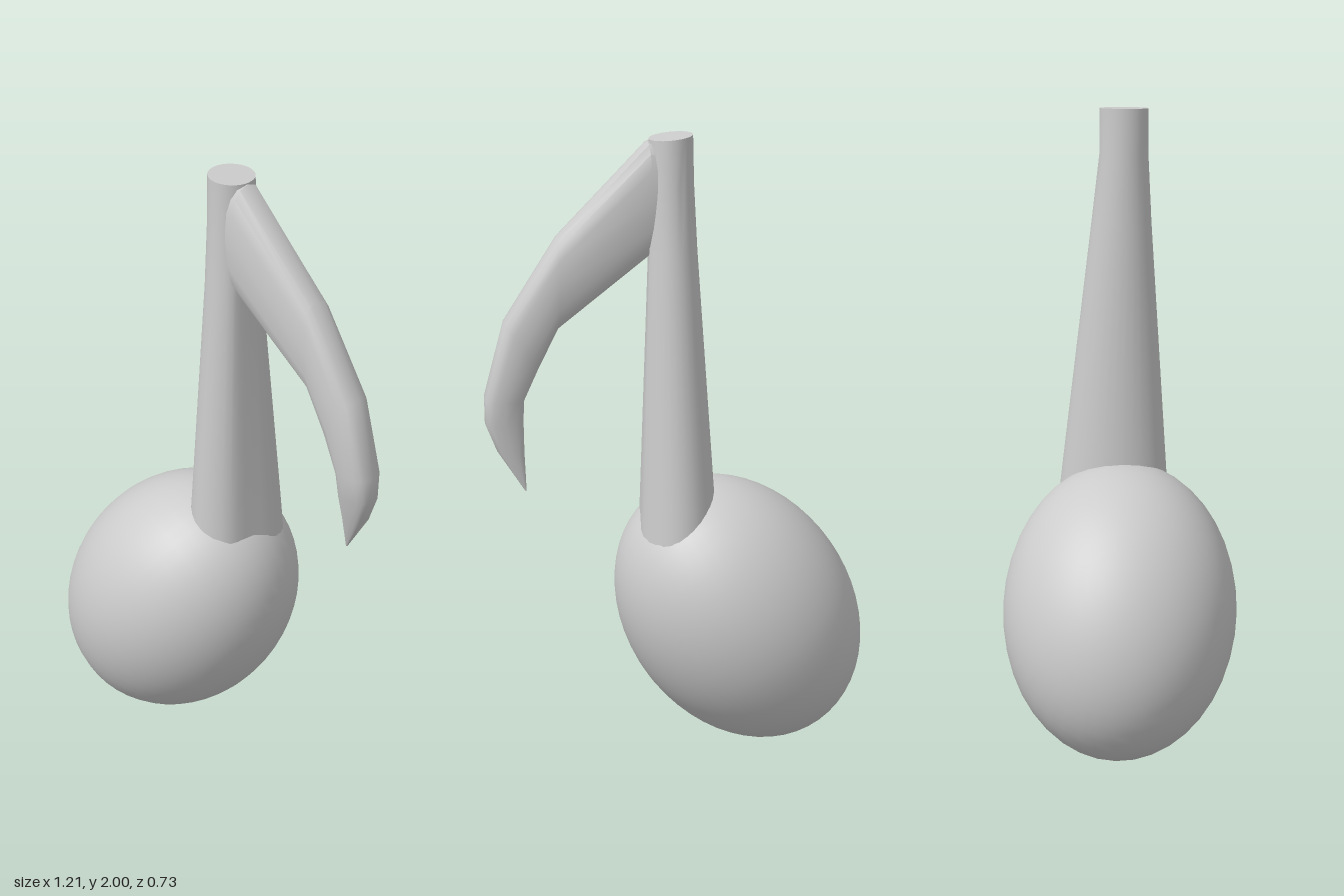
import * as THREE from 'three';
import { toCreasedNormals } from 'three/addons/utils/BufferGeometryUtils.js';

const material = new THREE.MeshStandardMaterial({ color: 0xcccccc });

// Skins a list of equal-sized rings of [x, y, z] points and closes both ends.
function loft(rings, crease) {
  const n = rings[0].length;
  const points = rings.flat();
  const index = [];
  for (let i = 0; i < rings.length - 1; i++) {
    for (let j = 0; j < n; j++) {
      const a = i * n + j, b = i * n + (j + 1) % n;
      index.push(a, b, b + n, a, b + n, a + n);
    }
  }
  const last = (rings.length - 1) * n;
  for (let j = 1; j < n - 1; j++) {
    index.push(0, j + 1, j, last, last + j, last + j + 1);
  }
  const geometry = new THREE.BufferGeometry();
  geometry.setAttribute('position', new THREE.Float32BufferAttribute(points.flat(), 3));
  geometry.setIndex(index);
  return toCreasedNormals(geometry, crease);
}

function ring(sides, point) {
  return Array.from({ length: sides }, (_, j) => point((j / sides) * Math.PI * 2));
}

function addMesh(group, name, geometry) {
  const mesh = new THREE.Mesh(geometry, material);
  mesh.name = name;
  group.add(mesh);
  return mesh;
}

export function createModel() {
  const group = new THREE.Group();
  group.name = 'musicalNote';

  // Note head: a leaning egg-like spheroid
  const head = addMesh(group, 'noteHead', new THREE.SphereGeometry(1, 40, 28));
  head.scale.set(0.475, 0.367, 0.367);
  head.rotation.z = 0.985;
  head.position.set(-0.205, 0.448, 0);

  // Stem: tapering oval, with a flattened face under the flag
  // [y, left x, right x, back z, front z, slope of the top]
  const stemSections = [
    [0.60, -0.125, 0.142, -0.225, 0.15, 0],
    [0.85, -0.112, 0.132, -0.197, 0.135, 0],
    [1.64, -0.062, 0.100, -0.101, 0.085, 0],
    [1.85, -0.053, 0.090, -0.076, 0.075, 0],
    [1.993, -0.05, 0.085, -0.075, 0.075, -0.1],
  ];
  const stemRings = stemSections.map(([y, x0, x1, z0, z1, slope]) => ring(32, (t) => {
    const z = (z0 + z1) / 2 - Math.sin(t) * (z1 - z0) / 2;
    const oval = (x0 + x1) / 2 + Math.cos(t) * (x1 - x0) / 2;
    const flat = y < 1.8 ? x1 - 0.012 - 0.15 * (z - (z0 + z1) / 2) : x1;
    const x = Math.min(oval, flat);
    return [x, y + slope * (x - 0.015), z];
  }));
  addMesh(group, 'stem', loft(stemRings, 0.55));

  // Flag: rounded band sweeping outward and down to a point
  // [outer x, outer y, inner x, inner y, half depth, middle z]
  const flagSections = [
    [0.03, 1.97, 0.01, 1.69, 0.055, 0.005],
    [0.09, 1.983, 0.07, 1.64, 0.065, 0.007],
    [0.37, 1.70, 0.375, 1.41, 0.061, 0.009],
    [0.54, 1.44, 0.435, 1.29, 0.058, 0.01],
    [0.605, 1.20, 0.482, 1.19, 0.056, 0.012],
    [0.605, 1.12, 0.484, 1.11, 0.045, 0.008],
    [0.57, 1.03, 0.485, 1.02, 0.028, -0.004],
    [0.487, 0.90, 0.483, 0.90, 0.003, -0.02],
  ];
  const squarish = (v) => Math.sign(v) * Math.abs(v) ** 0.7;
  const flagRings = flagSections.map(([ox, oy, ix, iy, depth, z]) => ring(16, (t) => {
    const k = (1 + squarish(Math.cos(t))) / 2;
    return [ix + (ox - ix) * k, iy + (oy - iy) * k, z + depth * squarish(Math.sin(t))];
  }));
  addMesh(group, 'flag', loft(flagRings, 0.65));

  return group;
}
